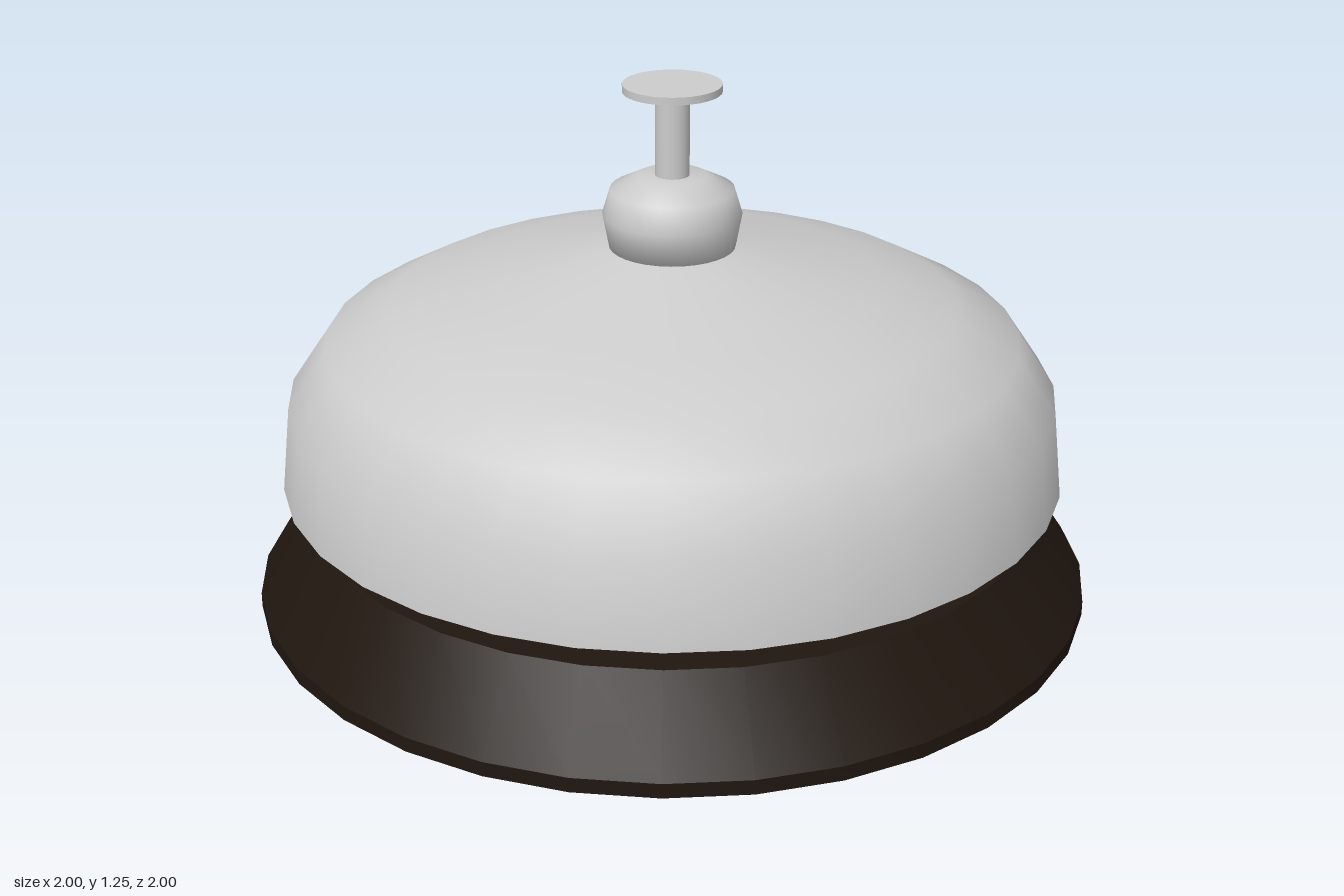
import * as THREE from 'three';
import { toCreasedNormals } from 'three/addons/utils/BufferGeometryUtils.js';

const SEGMENTS = 32;
const metal = new THREE.MeshStandardMaterial({ color: 0xcccccc });
const darkWood = new THREE.MeshStandardMaterial({ color: 0x20160f });

// Revolves a [radius, height] profile, keeping edges above the crease angle sharp
function turned(name, profile, material, creaseDegrees) {
  const points = profile.map(([r, y]) => new THREE.Vector2(r, y));
  const lathe = new THREE.LatheGeometry(points, SEGMENTS);
  const mesh = new THREE.Mesh(toCreasedNormals(lathe, THREE.MathUtils.degToRad(creaseDegrees)), material);
  mesh.name = name;
  return mesh;
}

function cylinder(name, radius, bottom, top) {
  const mesh = new THREE.Mesh(new THREE.CylinderGeometry(radius, radius, top - bottom, SEGMENTS), metal);
  mesh.position.y = (bottom + top) / 2;
  mesh.name = name;
  return mesh;
}

export function createModel() {
  const group = new THREE.Group();
  group.name = 'deskBell';

  // Solid base with a short vertical foot and sloped sides
  group.add(turned('base', [[0, 0], [1, 0], [1, 0.035], [0.87, 0.23], [0, 0.23]], darkWood, 25));

  // Hollow dome: down the inside, round the rim, up the outside
  group.add(turned('dome', [
    [0.14, 0.855], [0.5, 0.765], [0.66, 0.715], [0.8, 0.635], [0.885, 0.505], [0.91, 0.305],
    [0.93, 0.305], [0.908, 0.51], [0.817, 0.645], [0.67, 0.725], [0.5, 0.777], [0.14, 0.863],
  ], metal, 50));

  // Rounded collar seated in the top of the dome
  group.add(turned('collar', [
    [0, 0.83], [0.08, 0.835], [0.148, 0.86], [0.163, 0.94], [0.145, 1.0], [0.08, 1.033], [0, 1.033],
  ], metal, 75));

  // Push button
  group.add(cylinder('buttonStem', 0.04, 0.95, 1.235));
  group.add(cylinder('buttonCap', 0.115, 1.232, 1.25));

  return group;
}
